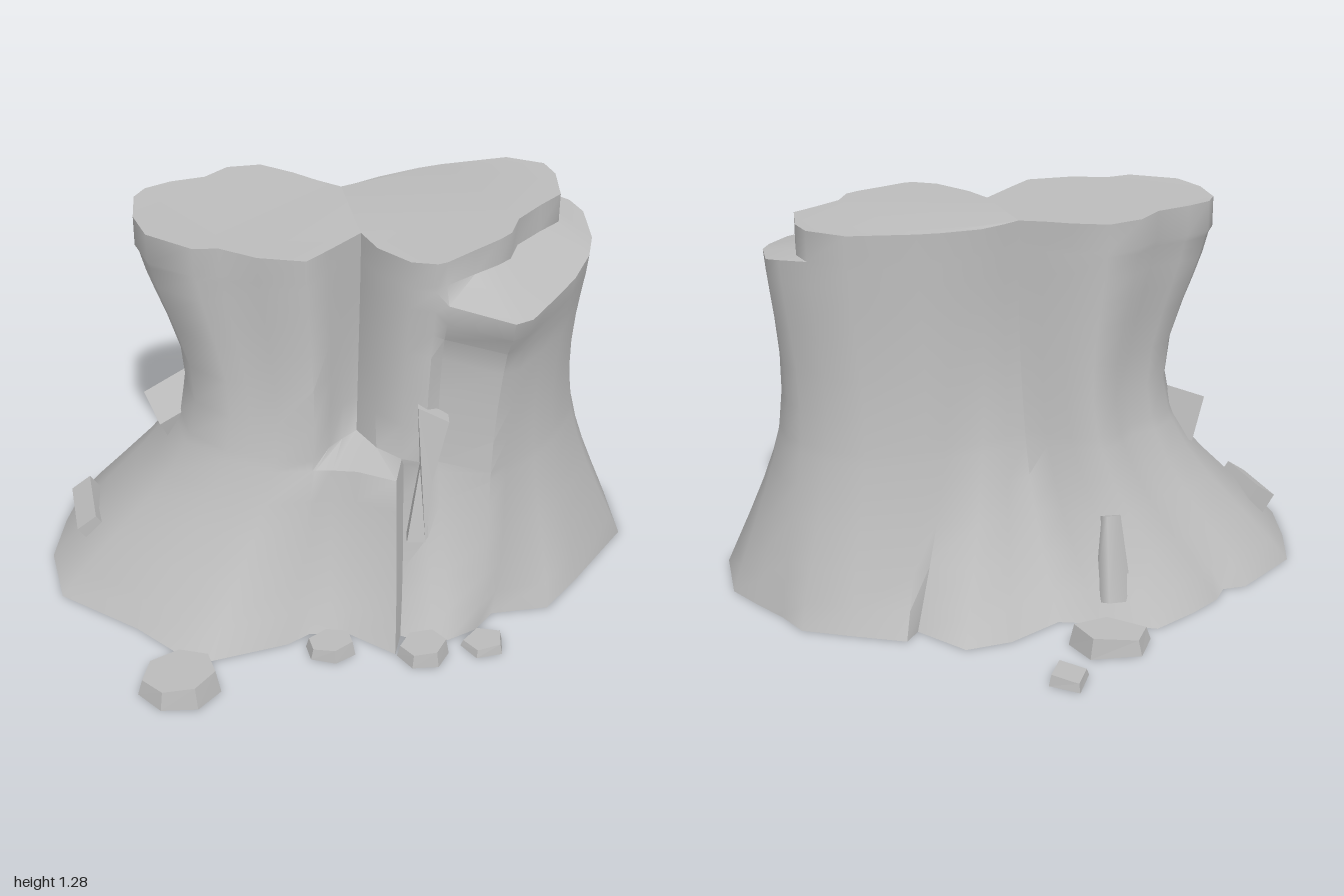
import * as THREE from 'three';
import { toCreasedNormals } from 'three/addons/utils/BufferGeometryUtils.js';

const H = 1.27;
// Outlines run counter-clockwise seen from above, starting at the front crease: x, z pairs
const CROWN = [
  .07, .16, .12, .26, .22, .36, .30, .38, .34, .40, .54, .49, .60, .44, .68, .33, .75, .23,
  .81, .10, .83, 0, .82, -.16, .78, -.22, .69, -.28, .57, -.34, .35, -.31, .27, -.29, .14, -.24,
  .06, -.19, .01, -.16, -.07, -.20, -.15, -.25, -.26, -.30, -.37, -.27, -.44, -.19, -.55, -.15, -.63, -.10,
  -.66, -.04, -.65, .10, -.60, .22, -.45, .31, -.37, .30, -.25, .35, -.10, .36, -.03, .28, .02, .22];
const ROOTS = [
  .03, .62, .18, .72, .20, .63, .30, .67, .36, .65, .45, .60, .51, .52, .70, .49, .81, .35,
  1, .08, .98, -.16, .90, -.27, .82, -.37, .76, -.47, .60, -.53, .43, -.59, .39, -.53, .25, -.67,
  .10, -.64, -.07, -.53, -.20, -.56, -.38, -.62, -.52, -.53, -.62, -.45, -.66, -.38, -.74, -.37, -.94, -.19,
  -.98, 0, -1, .20, -.94, .42, -.67, .59, -.53, .71, -.42, .75, -.17, .67, -.10, .62, -.03, .62];
// Broken-away corner: inner outline for columns 4 to 12
const CHIP = [.33, .37, .42, .30, .50, .24, .54, .20, .57, .11, .65, .02, .72, -.05, .72, -.14, .72, -.2];
const N = CROWN.length / 2;
const FIRST = 4, LAST = 12;
const chipped = i => i >= FIRST && i <= LAST;
// Wood left standing in the front crease below the break: column -> x, z
const FILL = { 34: [-.10, .37], 35: [-.03, .37], 0: [.07, .38], 1: [.20, .42], 2: [.23, .33] };
const FILL_TOP = .53;

const flare = y => Math.pow(1 - y / H, 3);

// Point on the trunk wall in column i at height y: roots flare out, sides pinch at the waist
function wallPoint(i, y) {
  const f = flare(y);
  let [cx, cz] = i in FILL && y < FILL_TOP ? FILL[i] : [CROWN[2 * i], CROWN[2 * i + 1]];
  // The chipped corner ends in a lip that juts forward
  if (chipped(i) && cz > 0) cz *= .85 + .15 * THREE.MathUtils.smoothstep(y, .93, 1.09);
  let x = THREE.MathUtils.lerp(cx, ROOTS[2 * i], f);
  const z = THREE.MathUtils.lerp(cz, ROOTS[2 * i + 1], f);
  x *= 1 - (x < 0 ? .26 : .07) * Math.sin(Math.PI * y / H) ** 2;
  return [x, y, z];
}

function rimPoint(i, y) {
  const k = i - FIRST;
  return chipped(i) ? [CHIP[2 * k], y, CHIP[2 * k + 1]] : [CROWN[2 * i], y, CROWN[2 * i + 1]];
}

const rimHeight = x => 1.25 + .03 * Math.min(1, Math.abs(x - .1) / .6);

function trunkGeometry() {
  const pos = [], index = [];
  const steps = [0, .07, .16, .27, .36, .45, .48, .58, .69, .80, .87, .94, 1];
  for (const t of steps) {
    for (let i = 0; i < N; i++) {
      const top = chipped(i) ? 1.10 + .06 * Math.abs(i - 6) / 5 : 1.16;
      pos.push(...wallPoint(i, t * top));
    }
  }
  for (let i = 0; i < N; i++) pos.push(...rimPoint(i, 1.18));
  for (let i = 0; i < N; i++) pos.push(...rimPoint(i, rimHeight(rimPoint(i, 0)[0])));
  const rings = steps.length + 2;
  for (let j = 0; j < rings - 1; j++) {
    for (let i = 0; i < N; i++) {
      const a = j * N + i, b = j * N + (i + 1) % N;
      index.push(a, b, b + N, a, b + N, a + N);
    }
  }
  const g = new THREE.BufferGeometry();
  g.setAttribute('position', new THREE.Float32BufferAttribute(pos, 3));
  g.setIndex(index);
  return toCreasedNormals(g, 1);
}

// Sawn top face spanning the rim
function capGeometry() {
  const pos = [], contour = [];
  for (let i = 0; i < N; i++) {
    const [x, , z] = rimPoint(i, 0);
    pos.push(x, rimHeight(x), z);
    contour.push(new THREE.Vector2(x, -z));
  }
  const g = new THREE.BufferGeometry();
  g.setAttribute('position', new THREE.Float32BufferAttribute(pos, 3));
  g.setIndex(THREE.ShapeUtils.triangulateShape(contour, []).flat());
  return toCreasedNormals(g, .5);
}

// Upright splinter whose outline is bent to lean along the flaring wall
function splinterGeometry(points, depth, crownZ, rootZ) {
  const shape = new THREE.Shape(points.map(p => new THREE.Vector2(...p)));
  const g = new THREE.ExtrudeGeometry(shape, { depth, bevelEnabled: false });
  const p = g.attributes.position;
  for (let i = 0; i < p.count; i++) {
    p.setZ(i, p.getZ(i) - depth + THREE.MathUtils.lerp(crownZ, rootZ, flare(p.getY(i))));
  }
  g.computeVertexNormals();
  return g;
}

export function createModel() {
  const group = new THREE.Group();
  const wood = new THREE.MeshStandardMaterial({ color: 0xbcbcbc, side: THREE.DoubleSide });
  wood.name = 'pale grey';
  const add = (name, geometry, at = [0, 0, 0], turn = [0, 0, 0]) => {
    const m = new THREE.Mesh(geometry, wood);
    m.name = name;
    m.position.set(...at);
    m.rotation.set(...turn);
    group.add(m);
  };

  add('trunk', trunkGeometry());
  add('cutTop', capGeometry());

  // Splinter beside the front crease
  add('splinter', splinterGeometry(
    [[.22, .3], [.28, .3], [.30, .5], [.35, .71], [.25, .76], [.26, .55]], .05, .40, .66));

  // Broken branch and bark chips
  add('branchStub', new THREE.BoxGeometry(.16, .16, .17), [-.54, .5, .03], [.2, .4, .35]);
  add('leftRootChip', new THREE.BoxGeometry(.08, .14, .24), [-.85, .12, .12], [0, .2, .6]);
  add('backBarkChip', new THREE.CylinderGeometry(.04, .07, .28, 5).toNonIndexed(), [-.26, .18, -.45], [.35, .2, 0]);

  // Loose stones: x, z, width, depth, height, sides, turn
  const stones = [
    [-.51, .87, .27, .23, .08, 7, .5], [-.03, .70, .17, .13, .055, 6, .2], [.27, .72, .17, .15, .06, 6, .6],
    [.47, .68, .15, .13, .04, 5, .9], [-.21, -.71, .28, .19, .07, 5, 0], [-.04, -.90, .14, .17, .04, 4, .3]];
  for (const [x, z, w, d, h, sides, turn] of stones) {
    const g = new THREE.CylinderGeometry(.44, .5, 1, sides, 1, false, turn).toNonIndexed();
    g.scale(w, h, d);
    // Tilt the upper face a little
    const p = g.attributes.position;
    for (let i = 0; i < p.count; i++) if (p.getY(i) > 0) p.setY(i, p.getY(i) + p.getX(i) * .12 - .01);
    g.computeVertexNormals();
    add('stone', g, [x, h / 2, z]);
  }
  return group;
}
